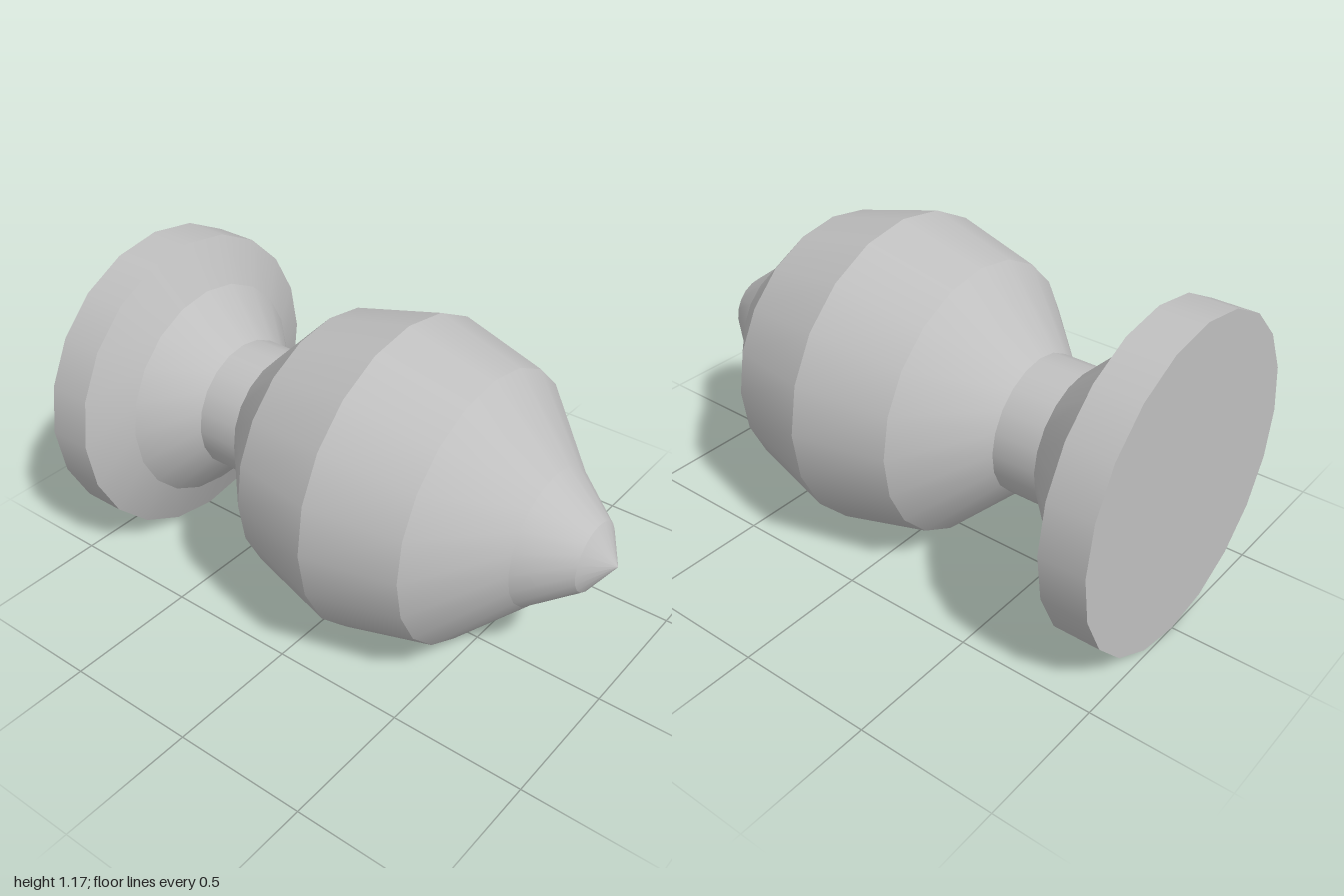
import * as THREE from 'three';
import { mergeGeometries } from 'three/addons/utils/BufferGeometryUtils.js';

const SIDES = 20;
const RADIUS = 0.583;

// Turned part from [radius, z] points, smooth around the axis, with a crease at every ring
function turned(name, profile, material) {
  const bands = [];
  for (let i = 0; i < profile.length - 1; i++) {
    const pair = [profile[i], profile[i + 1]].map(([r, z]) => new THREE.Vector2(r, z));
    bands.push(new THREE.LatheGeometry(pair, SIDES));
  }
  const geometry = mergeGeometries(bands);
  geometry.rotateX(Math.PI / 2); // lathe axis y becomes z
  const mesh = new THREE.Mesh(geometry, material);
  mesh.name = name;
  return mesh;
}

export function createModel() {
  const grey = new THREE.MeshStandardMaterial({ color: 0xc0c0c0 });
  grey.name = 'plain grey';

  const model = new THREE.Group();
  model.name = 'turnedKnob';
  model.add(
    // flat back plate flaring down to the neck
    turned('base', [[0, -1], [RADIUS, -1], [RADIUS, -0.833], [0.417, -0.75], [0.25, -0.583]], grey),
    turned('neck', [[0.25, -0.583], [0.25, -0.417]], grey),
    // bulging body, widest just ahead of the middle
    turned('body', [[0.25, -0.417], [0.5, -0.167], [RADIUS, 0.167], [0.5, 0.5], [0.25, 0.75]], grey),
    turned('tip', [[0.25, 0.75], [0.125, 0.917], [0, 1]], grey),
  );
  model.position.y = RADIUS;
  return model;
}
